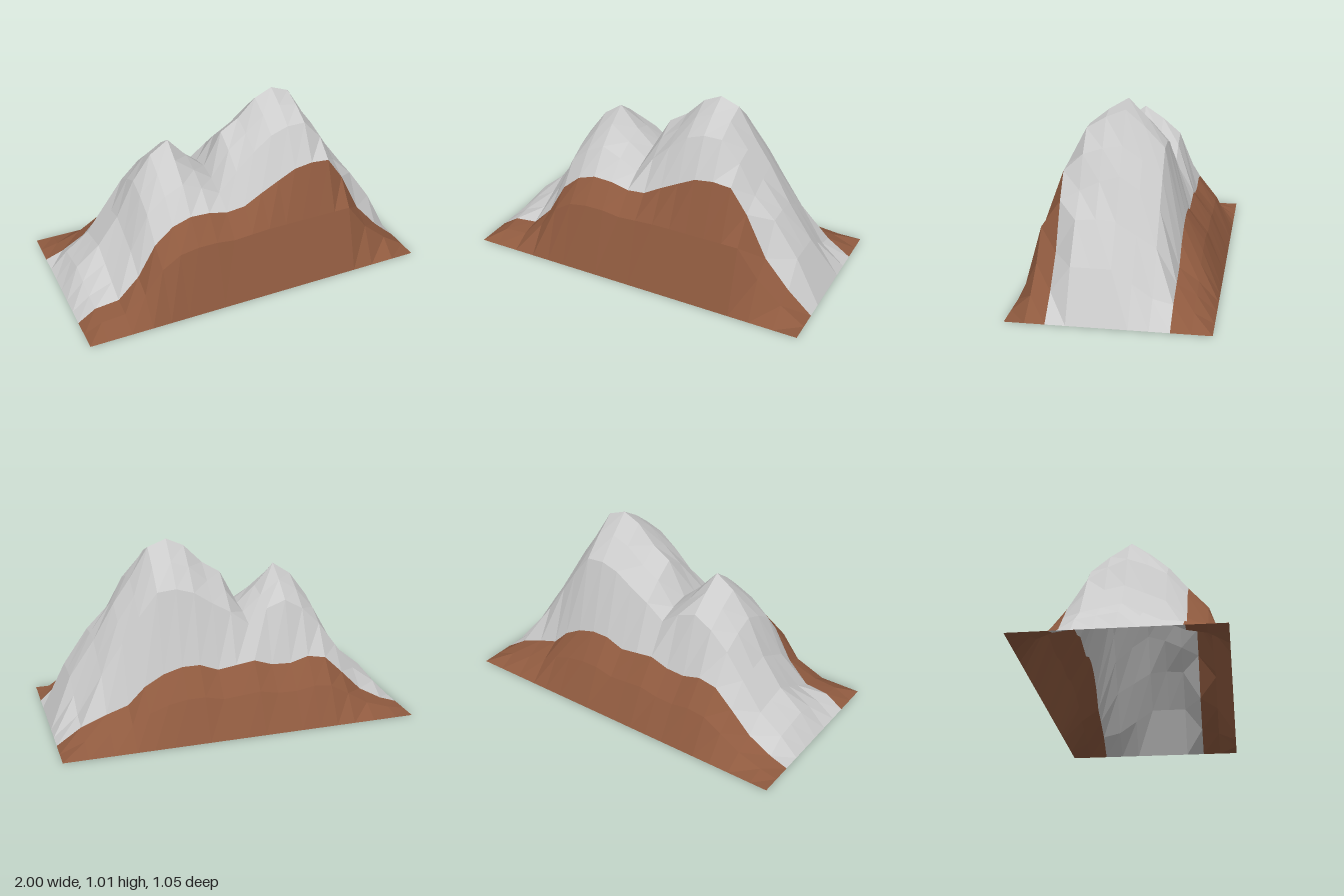
import * as THREE from 'three';

// Stations along the length, and height profiles of the main ridge lines
const xs = [-1, -0.9, -0.765, -0.645, -0.54, -0.435, -0.33, -0.22, -0.115, -0.01, 0.095, 0.2, 0.3, 0.405, 0.51, 0.605, 0.725, 0.865, 1];
const frontShoulder = [0, 0.065, 0.08, 0.2, 0.38, 0.47, 0.505, 0.5, 0.475, 0.485, 0.545, 0.6, 0.65, 0.665, 0.655, 0.52, 0.28, 0.12, 0];
const frontSlope = [0, 0.075, 0.13, 0.3, 0.51, 0.6, 0.65, 0.6, 0.54, 0.65, 0.75, 0.83, 0.865, 0.865, 0.75, 0.58, 0.46, 0.26, 0];
const ridge = [0, 0.13, 0.24, 0.4, 0.61, 0.75, 0.82, 0.695, 0.6, 0.795, 0.86, 0.965, 1.01, 0.97, 0.8, 0.665, 0.46, 0.26, 0];
const backSlope = [0, 0.1, 0.2, 0.36, 0.5, 0.6, 0.66, 0.62, 0.54, 0.62, 0.68, 0.75, 0.78, 0.77, 0.64, 0.5, 0.33, 0.115, 0];
const backShoulder = [0, 0.035, 0.11, 0.23, 0.33, 0.35, 0.32, 0.325, 0.36, 0.345, 0.33, 0.37, 0.37, 0.34, 0.28, 0.185, 0.145, 0.09, 0];

const ground = xs.map(() => 0);
const between = (a, b) => a.map((h, i) => (h + b[i]) / 2 + (h > 0.4 ? 0.01 : 0));

// Cross-section rows from back to front, evenly spaced in z
const STEP = 0.105;
const rows = [
  ground,
  backShoulder.map((h) => h * 0.6),
  backShoulder,
  backSlope,
  between(backSlope, ridge),
  ridge,
  between(ridge, frontSlope),
  frontSlope,
  frontShoulder,
  frontShoulder.map((h) => Math.min(h * 0.75, 0.37)),
  ground,
];

// Skins the rows from index a to index b as an open sheet
function terrain(name, a, b, color) {
  const positions = [], indices = [];
  const n = xs.length;
  for (let r = a; r <= b; r++) {
    xs.forEach((x, i) => positions.push(x, rows[r][i], (r - 5) * STEP));
  }
  for (let r = 0; r < b - a; r++) {
    for (let i = 0; i < n - 1; i++) {
      const p = r * n + i, q = p + n;
      indices.push(p, q, p + 1, p + 1, q, q + 1);
    }
  }
  const geometry = new THREE.BufferGeometry();
  geometry.setAttribute('position', new THREE.Float32BufferAttribute(positions, 3));
  geometry.setIndex(indices);
  geometry.computeVertexNormals();
  const material = new THREE.MeshStandardMaterial({ color, flatShading: true, side: THREE.DoubleSide });
  const mesh = new THREE.Mesh(geometry, material);
  mesh.name = name;
  return mesh;
}

export function createModel() {
  const group = new THREE.Group();
  group.name = 'mountain';
  const earth = 0x8f5a3f, rock = 0xcccccc;
  group.add(
    terrain('backFoothill', 0, 2, earth),
    terrain('rockyPeaks', 2, 8, rock),
    terrain('frontFoothill', 8, 10, earth),
  );
  return group;
}
